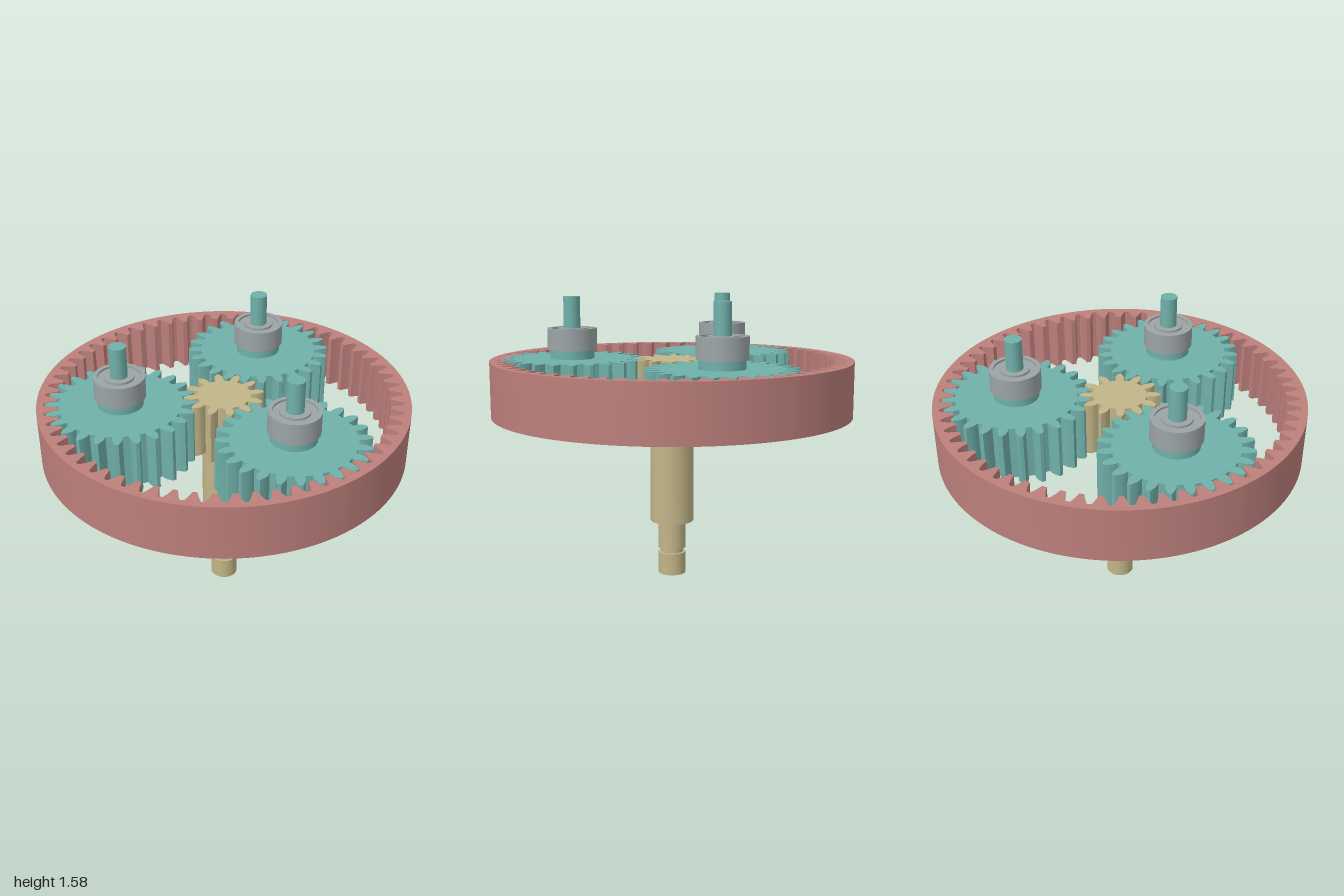
import * as THREE from 'three';
import { toCreasedNormals } from 'three/addons/utils/BufferGeometryUtils.js';

const MODULE = 0.0308, PRESSURE = Math.PI / 9;
const BASE = 0.93, TOP = 1.235, ORBIT = 0.555;

function material(name, color) {
  const m = new THREE.MeshStandardMaterial({ color });
  m.name = name;
  return m;
}

// Involute gear outline; each flank narrows from the root to the tip
function gearOutline(teeth, root, tip, phase, thickness) {
  const pitch = MODULE * teeth / 2;
  const base = pitch * Math.cos(PRESSURE);
  const inv = a => Math.tan(a) - a;
  const halfAngle = r => Math.PI / (2 * teeth) * thickness + inv(PRESSURE)
    - inv(Math.acos(Math.min(1, base / r)));
  const points = [];
  const steps = 6;
  for (let i = 0; i < teeth; i++) {
    const centre = (i + phase) * 2 * Math.PI / teeth;
    for (const side of [-1, 1]) {
      for (let k = 0; k <= steps; k++) {
        const t = side < 0 ? k / steps : 1 - k / steps;
        const r = root + (tip - root) * t;
        const a = centre + side * Math.max(0.004, halfAngle(r));
        points.push(new THREE.Vector2(r * Math.cos(a), r * Math.sin(a)));
      }
    }
  }
  return points;
}

// Stand a flat shape up as a slab between the gear faces
function slab(shape, name, mat) {
  const g = new THREE.ExtrudeGeometry(shape, { depth: TOP - BASE, bevelEnabled: false, curveSegments: 128 });
  g.rotateX(-Math.PI / 2);
  g.translate(0, BASE, 0);
  const mesh = new THREE.Mesh(toCreasedNormals(g, 0.4), mat);
  mesh.name = name;
  return mesh;
}

function turned(profile, name, mat) {
  const g = new THREE.LatheGeometry(profile.map(p => new THREE.Vector2(...p)), 48);
  const mesh = new THREE.Mesh(toCreasedNormals(g, 0.5), mat);
  mesh.name = name;
  return mesh;
}

export function createModel() {
  const model = new THREE.Group();
  model.name = 'planetaryGearset';
  const red = material('dusty red', 0xbc7f7b);
  const teal = material('teal', 0x70b0aa);
  const tan = material('tan', 0xc2b588);
  const grey = material('bearing grey', 0x9ca4a6);

  // Outer ring with inward teeth
  const ringShape = new THREE.Shape();
  ringShape.absarc(0, 0, 1, 0, Math.PI * 2, false);
  ringShape.holes.push(new THREE.Path(gearOutline(60, 0.892, 0.962, 0.5, 1.06)));
  model.add(slab(ringShape, 'ringGear', red));

  // Central gear on a stepped, grooved shaft
  const sun = new THREE.Group();
  sun.name = 'sunGear';
  sun.add(slab(new THREE.Shape(gearOutline(12, 0.146, 0.217, 0, 0.94)), 'sunTeeth', tan));
  sun.add(turned([
    [0, 0], [0.077, 0], [0.077, 0.125], [0.063, 0.125], [0.063, 0.15],
    [0.077, 0.15], [0.077, 0.31], [0.122, 0.31], [0.122, 0.94], [0, 0.94],
  ], 'inputShaft', tan));
  model.add(sun);

  // Three planets, each with a shoulder, pin and bearing
  const planetShape = new THREE.Shape(gearOutline(24, 0.328, 0.4, 0.5, 0.94));
  for (let i = 0; i < 3; i++) {
    const a = i * Math.PI * 2 / 3;
    const planet = new THREE.Group();
    planet.name = 'planetGear' + (i + 1);
    planet.add(slab(planetShape, 'planetTeeth', teal));
    planet.add(turned([
      [0, 1.22], [0.122, 1.22], [0.122, 1.285], [0.046, 1.285], [0.046, 1.575], [0, 1.575],
    ], 'planetPin', teal));
    planet.add(turned([
      [0.046, 1.284], [0.08, 1.284], [0.08, 1.296], [0.114, 1.296], [0.114, 1.284], [0.137, 1.284],
      [0.137, 1.402], [0.114, 1.402], [0.114, 1.39], [0.08, 1.39], [0.08, 1.402], [0.046, 1.402],
    ], 'bearing', grey));
    planet.position.set(ORBIT * Math.cos(a), 0, ORBIT * Math.sin(a));
    model.add(planet);
  }
  return model;
}
